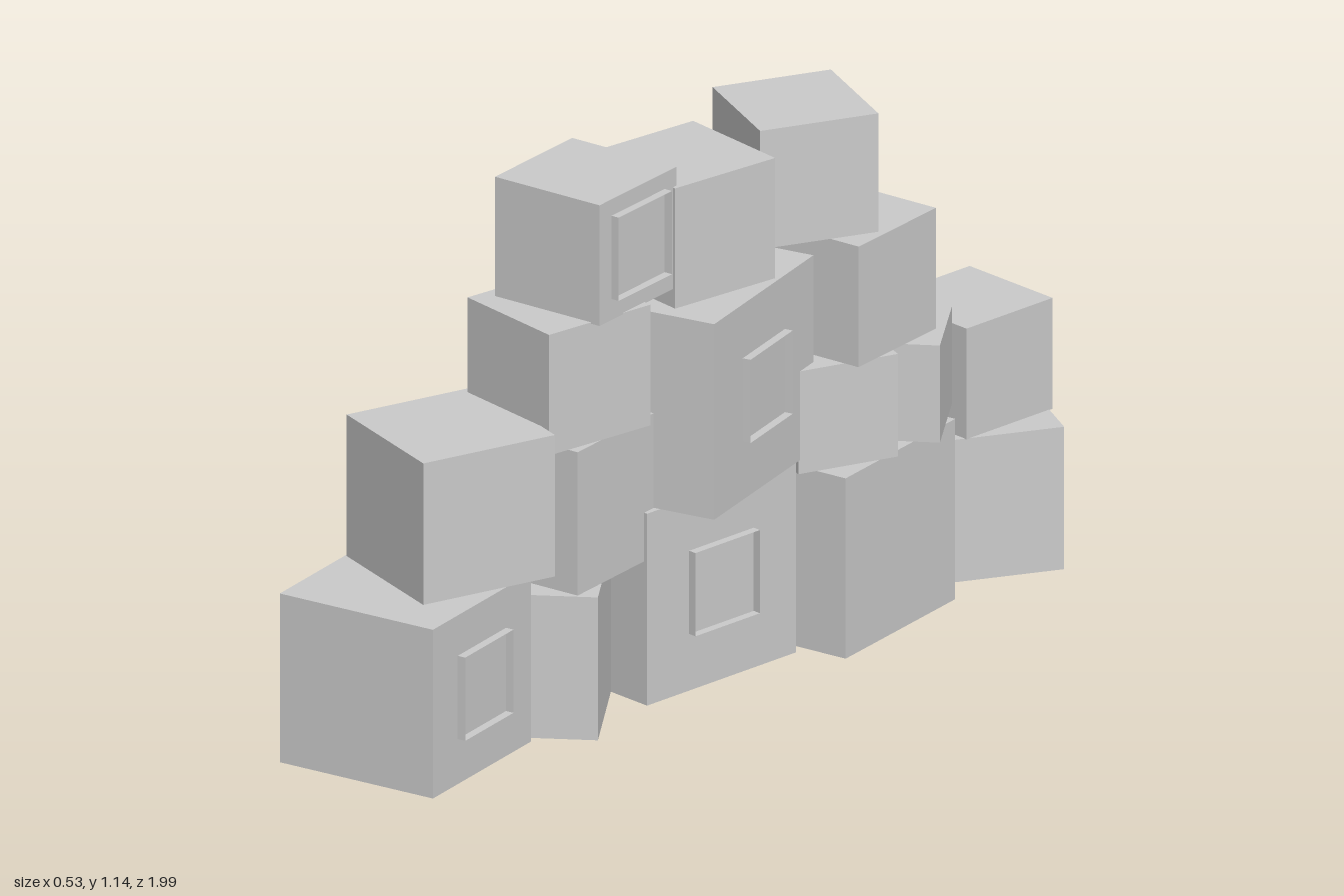
import * as THREE from 'three';

const stone = new THREE.MeshStandardMaterial({ color: 0xcccccc, flatShading: true });
const rimMat = new THREE.MeshStandardMaterial({ color: 0xcccccc, flatShading: true, side: THREE.DoubleSide });

// name, x, z, bottom, size, turn about y, has a raised window rim
const BLOCKS = [
  // ground course, front to back
  ['baseBlockFront', -0.004, 0.773, 0.008, 0.365, 0.235, true],
  ['baseBlockFrontMiddle', -0.002, 0.43, 0.006, 0.309, 0.705],
  ['baseBlockCentre', -0.06, 0.037, 0.005, 0.415, 0, true],
  ['baseBlockBackMiddle', 0.002, -0.379, 0, 0.39, 0.204],
  ['baseBlockBack', -0.003, -0.795, 0.008, 0.308, -0.455],
  // second course
  ['secondBlockFront', -0.003, 0.647, 0.375, 0.306, -0.24],
  ['secondBlockFrontMiddle', 0, 0.345, 0.315, 0.31, 0.18],
  ['secondBlockCentre', -0.002, 0.034, 0.42, 0.423, 0.313, true],
  ['secondBlockBackMiddle', 0.08, -0.315, 0.39, 0.222, -0.32],
  ['secondBlockBackSmall', 0.077, -0.512, 0.39, 0.21, 0.69],
  ['secondBlockBack', -0.005, -0.798, 0.315, 0.24, 0],
  // upper courses
  ['thirdBlockFront', 0.035, 0.382, 0.625, 0.261, -0.09],
  ['thirdBlockBack', 0.078, -0.375, 0.618, 0.261, 0.165],
  ['topBlockFront', 0.033, 0.305, 0.883, 0.261, 0.168, true],
  ['topBlockCentre', 0.03, 0.028, 0.843, 0.26, -0.08],
  ['topBlockBack', 0.033, -0.28, 0.88, 0.256, -0.385],
];

// Thin open square rim standing out of a block's +x face
function windowRim(size) {
  const side = 0.18, depth = 0.02;
  const r = side / Math.SQRT2;
  const geo = new THREE.CylinderGeometry(r, r, depth, 4, 1, true);
  geo.rotateY(Math.PI / 4);
  geo.rotateZ(-Math.PI / 2);
  const rim = new THREE.Mesh(geo, rimMat);
  rim.name = 'windowRim';
  rim.position.set(size / 2 + depth / 2 - 0.002, 0.005, 0);
  return rim;
}

export function createModel() {
  const model = new THREE.Group();
  model.name = 'blockPile';
  for (const [name, x, z, bottom, size, turn, hasRim] of BLOCKS) {
    const block = new THREE.Group();
    block.name = name;
    const cube = new THREE.Mesh(new THREE.BoxGeometry(size, size, size), stone);
    cube.name = 'cube';
    block.add(cube);
    if (hasRim) block.add(windowRim(size));
    block.position.set(x, bottom + size / 2, z);
    block.rotation.y = turn;
    model.add(block);
  }
  return model;
}
